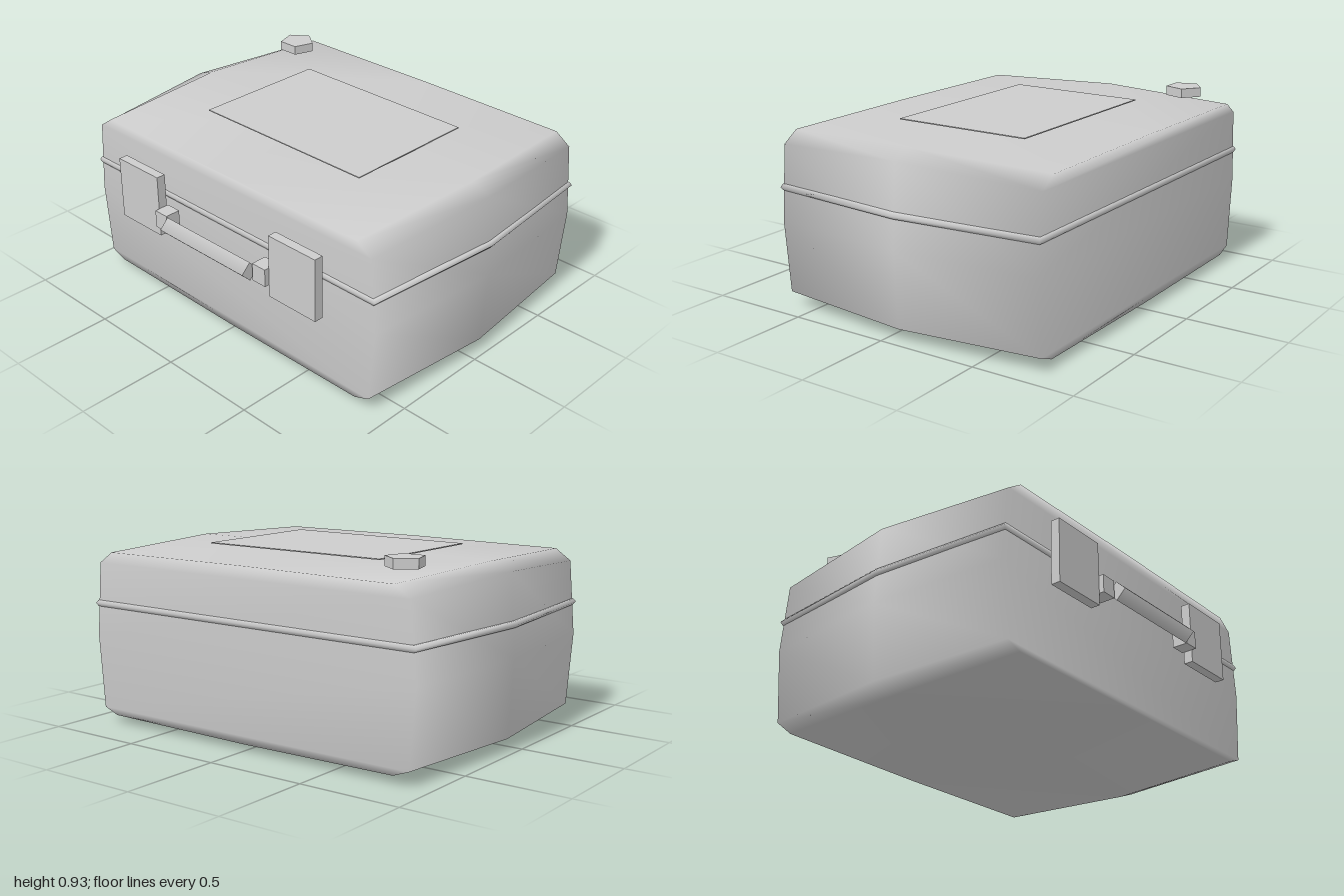
import * as THREE from 'three';

const grey = new THREE.MeshStandardMaterial({ color: 0xcccccc });
grey.name = 'light grey';

function surface(positions, indices) {
  const g = new THREE.BufferGeometry();
  g.setAttribute('position', new THREE.Float32BufferAttribute(positions, 3));
  g.setIndex(indices);
  g.computeVertexNormals();
  return g;
}

// Bulging case: three mirrored cross-sections from front to back, smooth all over
function bodyGeometry() {
  const end = [[0, 0.85], [0.82, 0.845], [0.9, 0.79], [0.93, 0.43], [0.9, 0.07], [0.82, 0.04], [0, 0.033]];
  const middle = [[0, 0.873], [0.865, 0.865], [0.965, 0.825], [0.99, 0.43], [0.965, 0.06], [0.865, 0.02], [0, 0]];
  const sections = [[end, 0.63], [middle, -0.075], [end, -0.782]];
  const n = 12, pos = [], idx = [];
  for (const [half, z] of sections) {
    for (let i = 0; i < n; i++) {
      const [x, y] = half[i <= 6 ? i : n - i];
      pos.push(i <= 6 ? -x : x, y, z);
    }
  }
  for (let k = 0; k < 2; k++) {
    for (let i = 0; i < n; i++) {
      const a = k * n + i, b = k * n + (i + 1) % n;
      idx.push(a, a + n, b, b, a + n, b + n);
    }
  }
  // front and back walls, in bands from top to bottom
  for (let i = 0; i < 6; i++) {
    const a = i, b = i + 1, c = n - i - 1, d = (n - i) % n, o = 2 * n;
    if (b !== c) {
      idx.push(a, b, c);
      idx.push(o + a, o + c, o + b);
    }
    if (a !== d) {
      idx.push(a, c, d);
      idx.push(o + a, o + d, o + c);
    }
  }
  return surface(pos, idx);
}

// Pointed rim following the seam between lid and base
function rimGeometry() {
  const path = [[-0.915, 0.63], [0.915, 0.63], [0.982, -0.075], [0.915, -0.782], [-0.915, -0.782], [-0.982, -0.075]];
  const profile = [[-0.02, 0.572], [0.006, 0.574], [0.018, 0.589], [0.006, 0.604], [-0.02, 0.606]];
  const m = profile.length, pos = [], idx = [];
  for (const [x, z] of path) {
    for (const [off, y] of profile) {
      pos.push(x + Math.sign(x) * off, y, z + Math.sign(z + 0.075) * off * 0.45);
    }
  }
  for (let p = 0; p < path.length; p++) {
    const q = (p + 1) % path.length;
    for (let j = 0; j < m - 1; j++) {
      const a = p * m + j, b = q * m + j;
      idx.push(a, b, b + 1, a, b + 1, a + 1);
    }
  }
  return surface(pos, idx);
}

export function createModel() {
  const model = new THREE.Group();
  model.name = 'case';

  const add = (name, geometry, x = 0, y = 0, z = 0) => {
    const mesh = new THREE.Mesh(geometry, grey);
    mesh.name = name;
    mesh.position.set(x, y, z);
    model.add(mesh);
    return mesh;
  };

  add('body', bodyGeometry());
  add('rim', rimGeometry());

  // Panel lying on the lid
  add('lidPanel', new THREE.BoxGeometry(1, 0.005, 0.7), 0, 0.879, -0.078);

  // Five-sided knob at the back corner
  const knob = new THREE.CylinderGeometry(0.091, 0.091, 0.046, 5, 1, false, Math.PI).toNonIndexed();
  knob.computeVertexNormals();
  add('knob', knob, -0.737, 0.907, -0.579);

  // Clasps and handle brackets on both sides
  for (const [side, s] of [['left', 1], ['right', -1]]) {
    add(side + 'Clasp', new THREE.BoxGeometry(0.284, 0.315, 0.046), s * 0.518, 0.563, 0.692);
    add(side + 'HandleBracket', new THREE.BoxGeometry(0.08, 0.088, 0.078), s * 0.335, 0.51, 0.7);
  }

  // Four-sided grip with smooth shading
  const grip = new THREE.CylinderGeometry(0.0475, 0.0475, 0.564, 4);
  grip.rotateZ(Math.PI / 2);
  add('handleGrip', grip, 0, 0.507, 0.742);

  return model;
}
